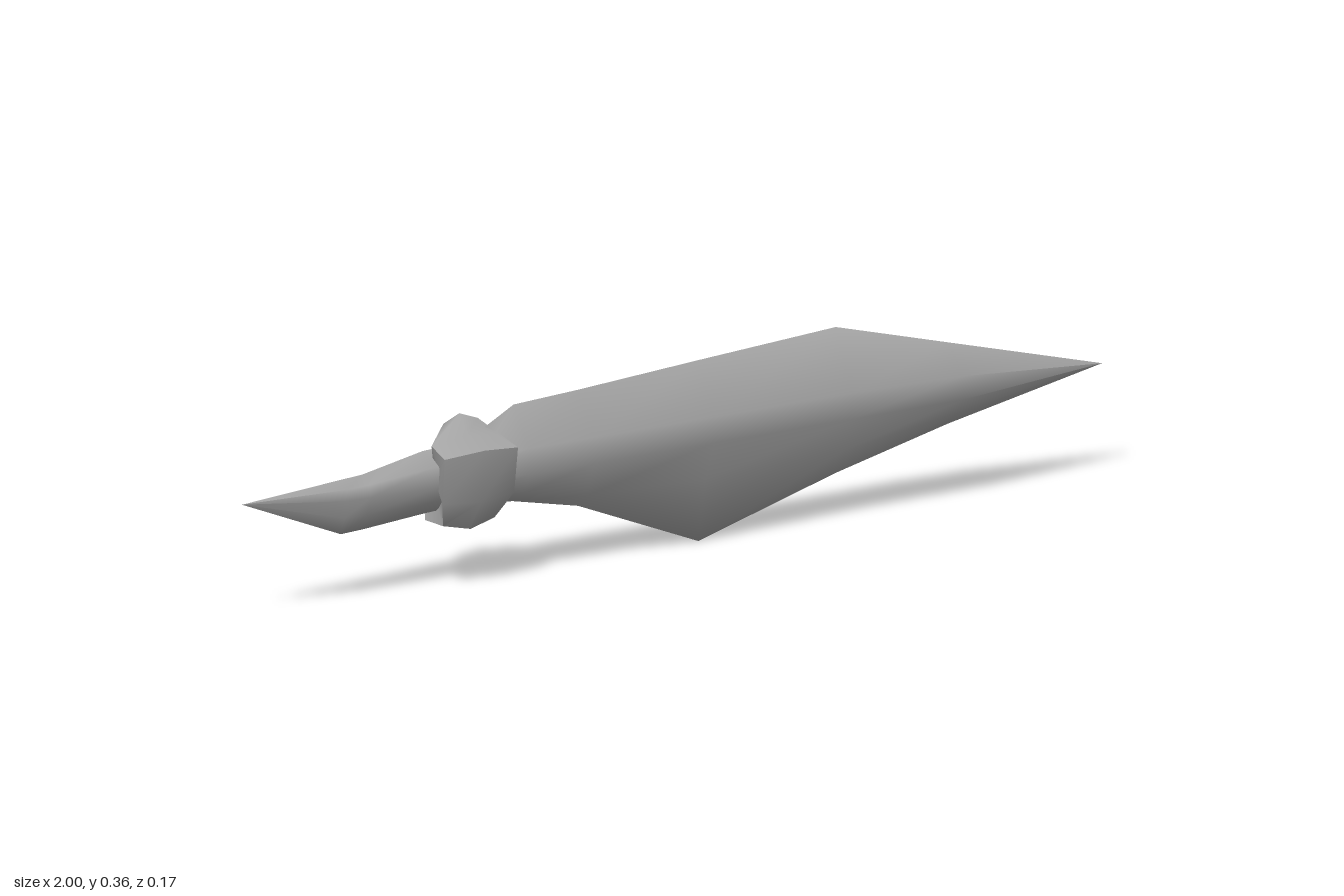
import * as THREE from 'three';
import { toCreasedNormals } from 'three/addons/utils/BufferGeometryUtils.js';

// Skin a list of closed rings, each an array of [x, y, z] points
function loft(rings) {
  const n = rings[0].length;
  const index = [];
  for (let i = 0; i < rings.length - 1; i++) {
    for (let j = 0; j < n; j++) {
      const a = i * n + j, b = i * n + (j + 1) % n;
      index.push(a, b, a + n, b, b + n, a + n);
    }
  }
  const geo = new THREE.BufferGeometry();
  geo.setAttribute('position', new THREE.Float32BufferAttribute(rings.flat(2), 3));
  geo.setIndex(index);
  geo.computeVertexNormals();
  return geo;
}

// Leaf-like cross-section: ridge, two flank corners per side, belly and keel
function leafRing(zc) {
  return ([x, top, yu, yl, w, yb, wb, keel]) => [
    [x, top, zc], [x, yu, zc + w], [x, yl, zc + w], [x, yb, zc + wb],
    [x, keel, zc], [x, yb, zc - wb], [x, yl, zc - w], [x, yu, zc - w],
  ];
}

export function createModel() {
  const group = new THREE.Group();
  const grey = new THREE.MeshStandardMaterial({ color: 0xa6a6a6, side: THREE.DoubleSide });
  grey.name = 'grey';
  const add = (name, geo) => {
    const mesh = new THREE.Mesh(geo, grey);
    mesh.name = name;
    group.add(mesh);
  };

  // Long body with a thin keel below: x, top, flanks, half width, belly, half width, keel
  add('body', loft([
    [-0.48, 0.27, 0.24, 0.2, 0.035, 0.17, 0.022, 0.155],
    [-0.37, 0.325, 0.25, 0.2, 0.049, 0.16, 0.03, 0.14],
    [-0.22, 0.332, 0.25, 0.2, 0.05, 0.135, 0.028, 0.11],
    [0.06, 0.349, 0.25, 0.2, 0.05, 0.125, 0.022, 0.003],
    [0.38, 0.367, 0.25, 0.2, 0.05, 0.135, 0.025, 0.088],
    [0.64, 0.301, 0.245, 0.2, 0.048, 0.17, 0.027, 0.145],
    [1, 0.21, 0.21, 0.21, 0, 0.21, 0, 0.21],
  ].map(leafRing(0.005))));

  // Short pointed end behind the band
  add('tail', loft([
    [-1, 0.222, 0.222, 0.222, 0, 0.222, 0, 0.222],
    [-0.77, 0.237, 0.222, 0.2, 0.021, 0.165, 0.012, 0.133],
    [-0.72, 0.24, 0.225, 0.2, 0.025, 0.165, 0.015, 0.135],
    [-0.58, 0.265, 0.24, 0.2, 0.036, 0.17, 0.022, 0.145],
    [-0.48, 0.27, 0.24, 0.2, 0.038, 0.17, 0.024, 0.15],
  ].map(leafRing(0.002))));

  // Uneven wrapped band: y, z, left edge x, right edge x
  const outline = [
    [0.29, 0.035, -0.58, -0.42], [0.27, 0.086, -0.583, -0.412],
    [0.17, 0.077, -0.582, -0.415], [0.113, 0.045, -0.56, -0.44],
    [0.11, -0.035, -0.55, -0.44], [0.16, -0.075, -0.52, -0.418],
    [0.225, -0.087, -0.51, -0.415], [0.316, -0.03, -0.51, -0.43],
  ];
  const bandRing = ([t, s]) => outline.map(([y, z, x0, x1]) =>
    [x0 + (x1 - x0) * t, 0.21 + (y - 0.21) * s, z * s]);
  add('band', toCreasedNormals(loft(
    [[0.1, 0.4], [0, 0.87], [0.5, 1], [1, 0.87], [0.9, 0.4]].map(bandRing)), 1.0));

  return group;
}
